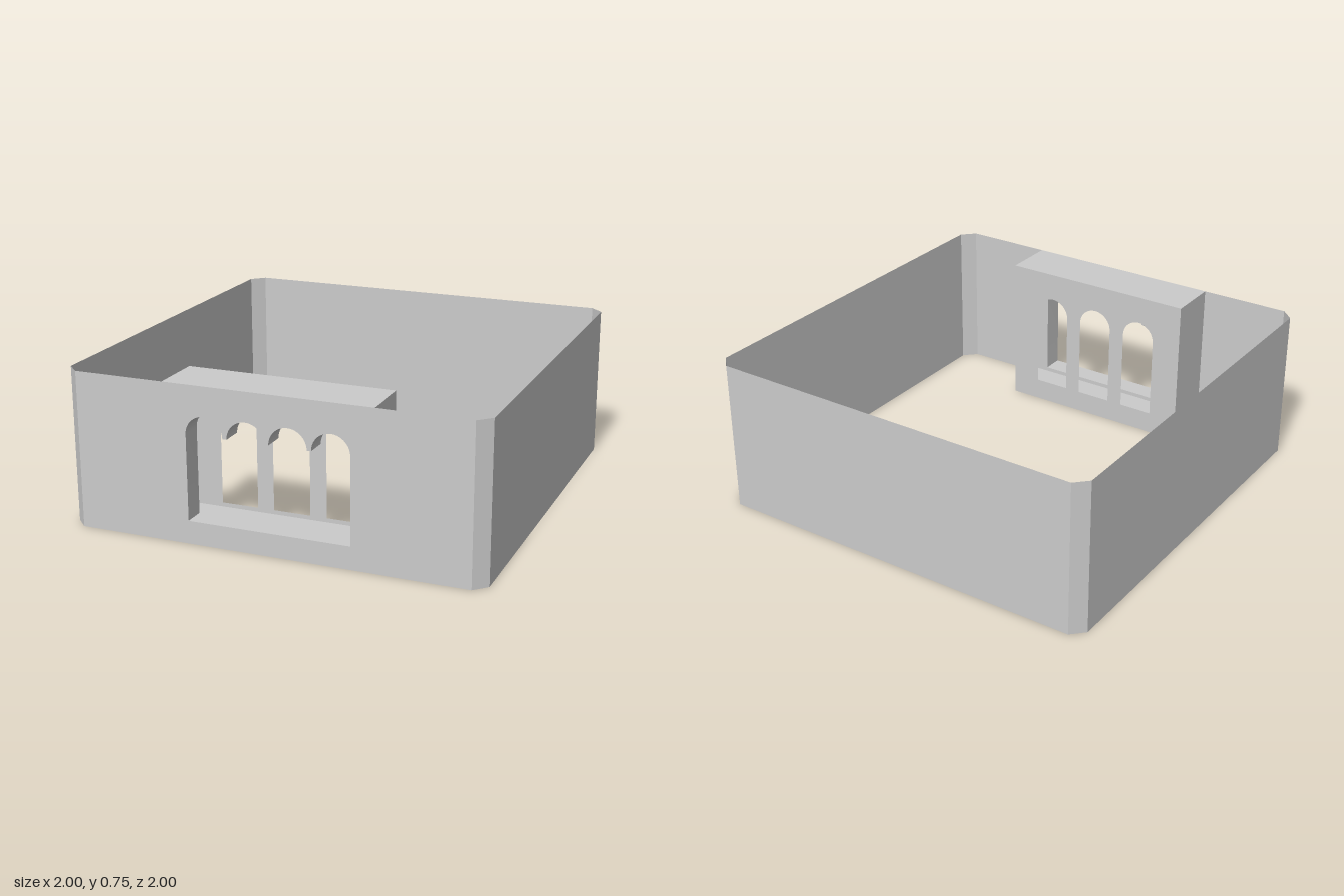
import * as THREE from 'three';
import { toCreasedNormals } from 'three/addons/utils/BufferGeometryUtils.js';

const H = 0.75, CUT = 0.94;              // wall height, start of corner chamfer
const BACK = 0.74, INNER = 0.895;        // loggia back face, rear of the arcade reveal
const SILL = 0.11, SPRING = 0.52, R = 0.09;

export function createModel() {
  const model = new THREE.Group();
  const material = new THREE.MeshStandardMaterial({ color: 0xcccccc, side: THREE.DoubleSide });

  const add = (name, geometry) => {
    const mesh = new THREE.Mesh(geometry, material);
    mesh.name = name;
    model.add(mesh);
    return mesh;
  };

  // Upright panel between two plan points
  const panel = (name, x1, z1, x2, z2) => {
    const mesh = add(name, new THREE.PlaneGeometry(Math.hypot(x2 - x1, z2 - z1), H));
    mesh.position.set((x1 + x2) / 2, H / 2, (z1 + z2) / 2);
    mesh.rotation.y = -Math.atan2(z2 - z1, x2 - x1);
  };

  // Level panel across the loggia
  const slab = (name, y, front = 1, dir = 1) => {
    const mesh = add(name, new THREE.PlaneGeometry(1, front - BACK));
    mesh.rotation.x = -dir * Math.PI / 2;
    mesh.position.set(0, y, (BACK + front) / 2);
  };

  // Flat wall facing z, pierced by holes
  const piercedWall = (name, halfWidth, z, holes) => {
    const shape = new THREE.Shape();
    shape.moveTo(-halfWidth, 0).lineTo(halfWidth, 0).lineTo(halfWidth, H).lineTo(-halfWidth, H).closePath();
    shape.holes = holes;
    add(name, new THREE.ShapeGeometry(shape, 20)).position.z = z;
  };

  // Opening with one or more round heads, traced from right to left
  const archedOpening = (centres) => {
    const path = new THREE.Path();
    path.moveTo(centres[0] - R, SILL);
    path.lineTo(centres[centres.length - 1] + R, SILL);
    for (const x of [...centres].reverse()) {
      path.lineTo(x + R, SPRING);
      path.absarc(x, SPRING, R, 0, Math.PI, false);
    }
    path.lineTo(centres[0] - R, SILL);
    return path;
  };

  // Outer ring: three plain sides and four chamfered corners
  panel('backWall', CUT, -1, -CUT, -1);
  for (const s of [-1, 1]) {
    panel('sideWall', s, s * CUT, s, -s * CUT);
    panel('frontCorner', s * CUT, 1, s, CUT);
    panel('backCorner', s * CUT, -1, s, -CUT);
  }

  // Front wall with the four-arched opening
  const arcade = archedOpening([-0.3, -0.1, 0.1, 0.3]);
  piercedWall('frontWall', CUT, 1, [arcade]);
  piercedWall('frontWallInnerFace', 0.5, INNER, [arcade]);

  // Reveal lining the opening between the two faces
  const outline = arcade.getPoints(20);
  const reveal = [];
  for (let i = 0; i < outline.length - 1; i++) {
    const a = outline[i], b = outline[i + 1];
    reveal.push(a.x, a.y, 1, b.x, b.y, INNER, b.x, b.y, 1);
    reveal.push(a.x, a.y, 1, a.x, a.y, INNER, b.x, b.y, INNER);
  }
  const lining = new THREE.BufferGeometry();
  lining.setAttribute('position', new THREE.Float32BufferAttribute(reveal, 3));
  lining.computeVertexNormals();
  add('arcadeReveal', toCreasedNormals(lining, 0.6));

  // Loggia box behind the arcade, with three arched windows
  piercedWall('loggiaBack', 0.5, BACK, [-0.26, 0, 0.26].map((x) => archedOpening([x])));
  for (const s of [-1, 1]) panel('loggiaSide', s * 0.5, 1, s * 0.5, BACK);
  slab('loggiaRoof', H);
  slab('loggiaBase', 0, 1, -1);
  slab('loggiaFloor', 0.09, INNER);
  slab('loggiaCeiling', 0.62, INNER, -1);

  return model;
}
